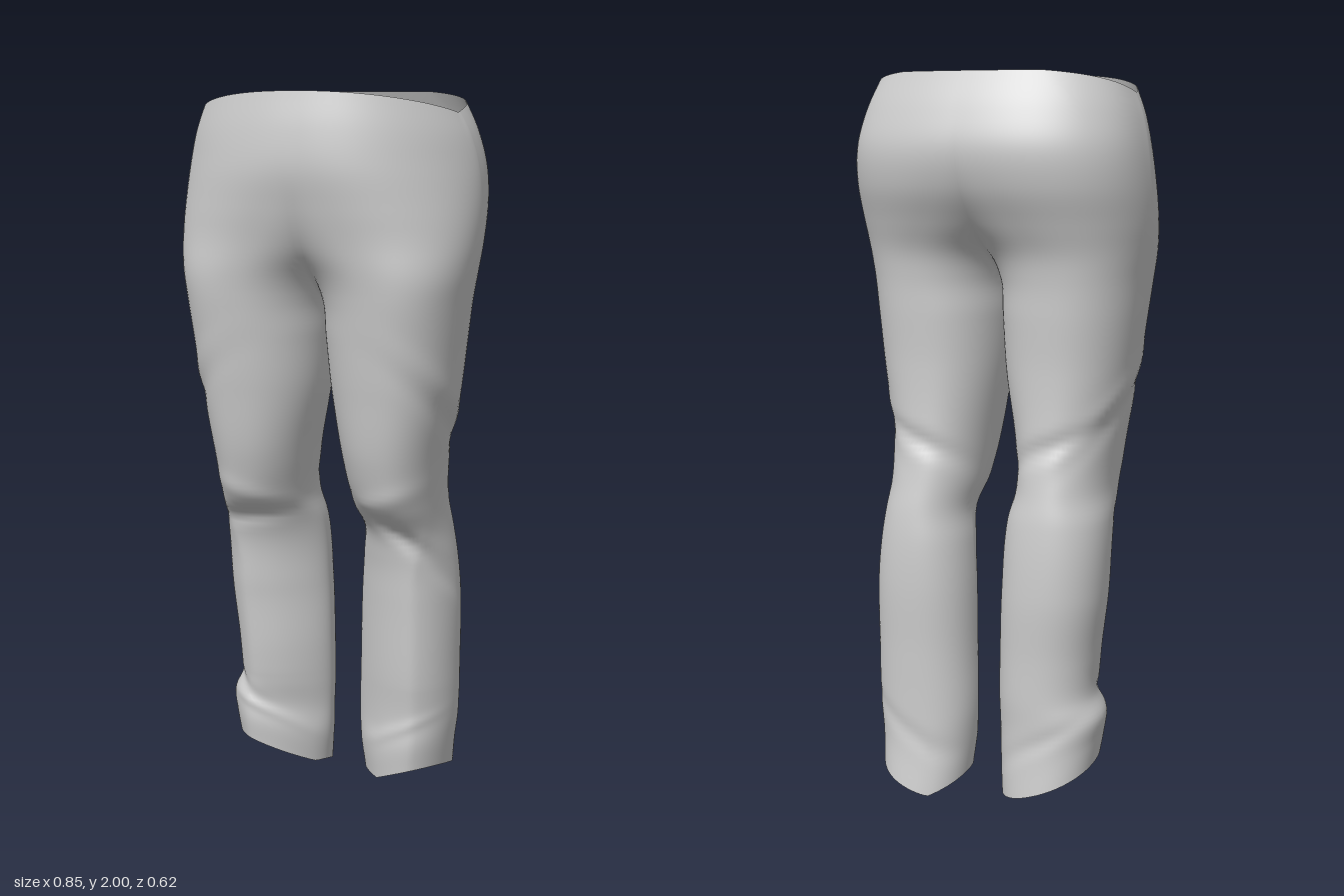
import * as THREE from 'three';
import { mergeVertices } from 'three/addons/utils/BufferGeometryUtils.js';

const ROWS = 120;
const OUTER = 66, INNER = 6, SIDES = OUTER + INNER; // segments round one half
const ROUND = 0.92;                                 // section squareness

// Section rows for one half: [height, inner x, outer x, front z, back z].
// A negative inner x is cut off at the middle, where the halves join.
const hips = [
  [1.2, 0.018, 0.365, 0.222, -0.18],
  [1.35, 0.005, 0.385, 0.242, -0.185],
  [1.45, -0.003, 0.398, 0.256, -0.19],
  [1.52, -0.04, 0.41, 0.265, -0.203],
  [1.6, -0.14, 0.42, 0.275, -0.24],
  [1.7, -0.26, 0.423, 0.295, -0.288],
  [1.8, -0.35, 0.415, 0.312, -0.307],
  [1.9, -0.37, 0.395, 0.308, -0.283],
  [2.0, -0.36, 0.365, 0.292, -0.24],
];
const leftLeg = [
  [0, 0.06, 0.315, 0.03, -0.255],
  [0.1, 0.05, 0.325, 0.035, -0.24],
  [0.2, 0.045, 0.335, 0.028, -0.235],
  [0.4, 0.05, 0.34, 0.042, -0.235],
  [0.6, 0.055, 0.34, 0.052, -0.24],
  [0.72, 0.065, 0.33, 0.062, -0.235],
  [0.8, 0.075, 0.32, 0.083, -0.225],
  [0.88, 0.06, 0.315, 0.145, -0.21],
  [1.0, 0.045, 0.325, 0.188, -0.19],
];
const rightLeg = [
  [0, 0.06, 0.325, 0.03, -0.25],
  [0.1, 0.05, 0.335, 0.035, -0.24],
  [0.2, 0.048, 0.343, 0.028, -0.235],
  [0.3, 0.045, 0.318, 0.032, -0.235],
  [0.42, 0.045, 0.32, 0.042, -0.235],
  [0.6, 0.05, 0.34, 0.052, -0.24],
  [0.8, 0.06, 0.34, 0.083, -0.225],
  [0.88, 0.075, 0.328, 0.145, -0.21],
  [1.0, 0.06, 0.335, 0.188, -0.19],
];

// Cloth folds: [angle, height, angular width, half height, slope, depth]
const F = Math.PI / 2, B = -Math.PI / 2;
const sharedFolds = [
  [0, 1.1, 1.0, 0.035, 0.13, -0.005],
  [0, 1.17, 1.0, 0.035, 0.13, 0.004],
  [F, 0.9, 0.8, 0.03, -0.04, 0.006],
  [B, 1.0, 0.9, 0.025, 0.06, -0.01],
  [B, 0.16, 0.9, 0.03, 0.07, -0.006],
  [F, 0.17, 0.7, 0.025, -0.06, 0.006],
];
const leftFolds = [
  ...sharedFolds,
  [F - 0.2, 0.8, 0.8, 0.025, 0.09, -0.013],
  [0.5, 0.68, 0.5, 0.03, 0.12, -0.008],
];
const rightFolds = [
  ...sharedFolds,
  [F, 0.83, 0.8, 0.022, 0.02, -0.014],
  [0.8, 0.28, 0.7, 0.03, -0.1, -0.007],
];

function foldDepth(folds, a, y) {
  let sum = 0;
  for (const [fa, fy, w, h, slope, depth] of folds) {
    const da = Math.atan2(Math.sin(a - fa), Math.cos(a - fa));
    sum += depth * Math.exp(-((da / w) ** 2) - ((y - fy - slope * da) / h) ** 2);
  }
  return sum;
}

const signedPow = (v, p) => Math.sign(v) * Math.abs(v) ** p;

// Lofts one half; side is +1 for left, -1 for right.
// The hem is lowest at hemX and rises to either side and forwards.
function addHalf(legRows, folds, side, hemX, hemLift, positions, indices) {
  const rows = [...legRows, ...hips];
  const curve = new THREE.CubicInterpolant(
    rows.map((r) => r[0]), rows.flatMap((r) => r.slice(1)), 4, new Float32Array(4));
  const start = positions.length / 3;

  for (let j = 0; j <= ROWS; j++) {
    const t = (2 * j) / ROWS;
    const [inner, outer, front, back] = curve.evaluate(t);
    const cx = (inner + outer) / 2, rx = (outer - inner) / 2;
    const cz = (front + back) / 2, rz = (front - back) / 2;
    // Angle at which the section meets the middle plane
    const meet = Math.acos(-(Math.min(1, Math.max(0, cx / rx)) ** (1 / ROUND)));
    const edge = Math.min(meet, 0.92 * Math.PI);
    // Towards the waist the front grows pointed and the back square
    const upper = THREE.MathUtils.smoothstep(t, 1.55, 1.85);
    // Shins have a front crease turned outwards; thighs turn out a little
    const shin = 1 - THREE.MathUtils.smoothstep(t, 0.65, 1.05);
    const shear = 0.25 * shin + 0.1 * (1 - THREE.MathUtils.smoothstep(t, 1.45, 1.65));
    const rim = Math.max(0, (t - 1.75) / 0.25) ** 2;
    const hem = Math.max(0, 1 - t / 0.35);

    for (let i = 0; i < SIDES; i++) {
      const a = i <= OUTER
        ? -edge + (2 * edge * i) / OUTER
        : edge + (2 * (Math.PI - edge) * (i - OUTER)) / INNER;
      const k = 1 + foldDepth(folds, a, t) / 0.15;
      const c = Math.cos(a), s = Math.sin(a);
      let x = cx + rx * k * signedPow(c, ROUND);
      if (x < 1e-5) x = 0;
      const power = ROUND + (s > 0 ? 0.35 * upper + 0.15 * shin : -0.18 * upper);
      const turn = shear * Math.min(x - cx, 0.06 + 0.1 * (1 - shin)) * Math.max(0, s);
      const z = cz + rz * k * signedPow(s, power) + turn;
      // Waistband dips at the hips; the hem slants
      const dip = 0.055 * Math.max(0, 1 - Math.abs(z - 0.04) / 0.25);
      const slant = hemLift + 0.34 * Math.abs(x - hemX) + 0.25 * (z + 0.1);
      positions.push(side * x, t - rim * dip + hem * slant, z);
    }
  }

  // Triangles lying wholly on the middle plane are left out, opening the pelvis
  const onMiddle = (v) => Math.abs(positions[v * 3]) < 1e-6;
  const addFace = (a, b, c) => {
    if (onMiddle(a) && onMiddle(b) && onMiddle(c)) return;
    if (side > 0) indices.push(a, b, c);
    else indices.push(a, c, b);
  };
  for (let j = 0; j < ROWS; j++) {
    for (let i = 0; i < SIDES; i++) {
      const a = start + j * SIDES + i, d = start + j * SIDES + ((i + 1) % SIDES);
      addFace(a, a + SIDES, d);
      addFace(a + SIDES, d + SIDES, d);
    }
  }
}

export function createModel() {
  const group = new THREE.Group();
  group.name = 'trousers';

  const positions = [], indices = [];
  addHalf(leftLeg, leftFolds, 1, 0.13, 0.032, positions, indices);
  addHalf(rightLeg, rightFolds, -1, 0.08, 0.05, positions, indices);

  // Both halves are welded along the middle seam for smooth shading
  let geometry = new THREE.BufferGeometry();
  geometry.setAttribute('position', new THREE.Float32BufferAttribute(positions, 3));
  geometry.setIndex(indices);
  geometry = mergeVertices(geometry, 1e-4);
  geometry.computeVertexNormals();

  const cloth = new THREE.MeshStandardMaterial({ color: 0xcccccc, side: THREE.DoubleSide });
  const mesh = new THREE.Mesh(geometry, cloth);
  mesh.name = 'trouserCloth';
  group.add(mesh);
  return group;
}
